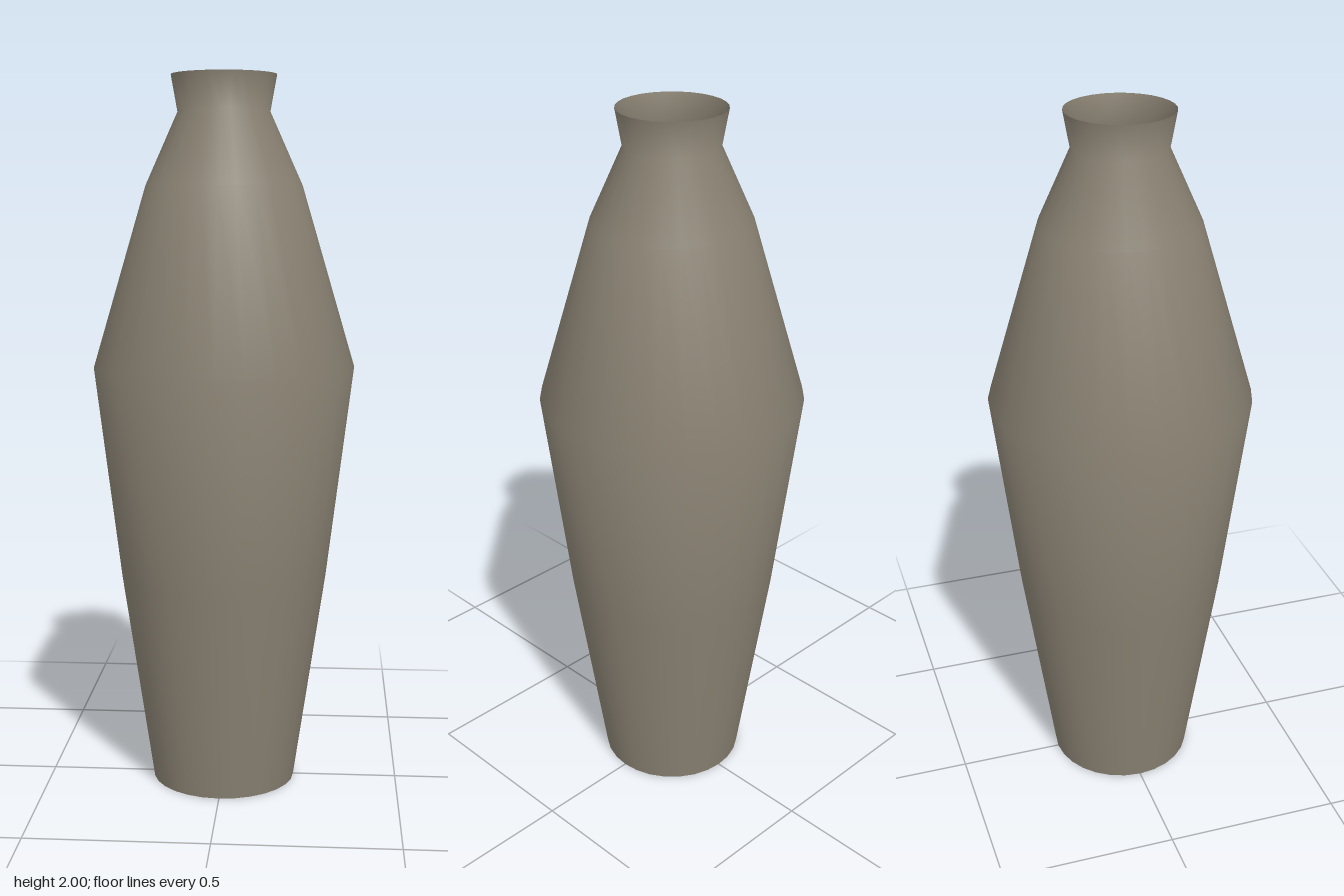
import * as THREE from 'three';

const SIDES = 28;

export function createModel() {
  const vase = new THREE.Group();
  vase.name = 'vase';

  const clay = new THREE.MeshStandardMaterial({ color: 0x8b8374, side: THREE.DoubleSide });
  clay.name = 'clay';

  // Thin turned wall: foot, belly, shoulder, neck and flared lip
  const profile = [
    [0.203, 0], [0.292, 0.6], [0.366, 1.2], [0.218, 1.7], [0.128, 1.9], [0.146, 2],
  ].map(([r, y]) => new THREE.Vector2(r, y));
  const body = new THREE.Mesh(new THREE.LatheGeometry(profile, SIDES), clay);
  body.name = 'body';

  // Flat base, also the floor seen through the open neck
  const disc = new THREE.CircleGeometry(profile[0].x, SIDES).rotateX(Math.PI / 2);
  const base = new THREE.Mesh(disc, clay);
  base.name = 'base';

  vase.add(body, base);
  return vase;
}
